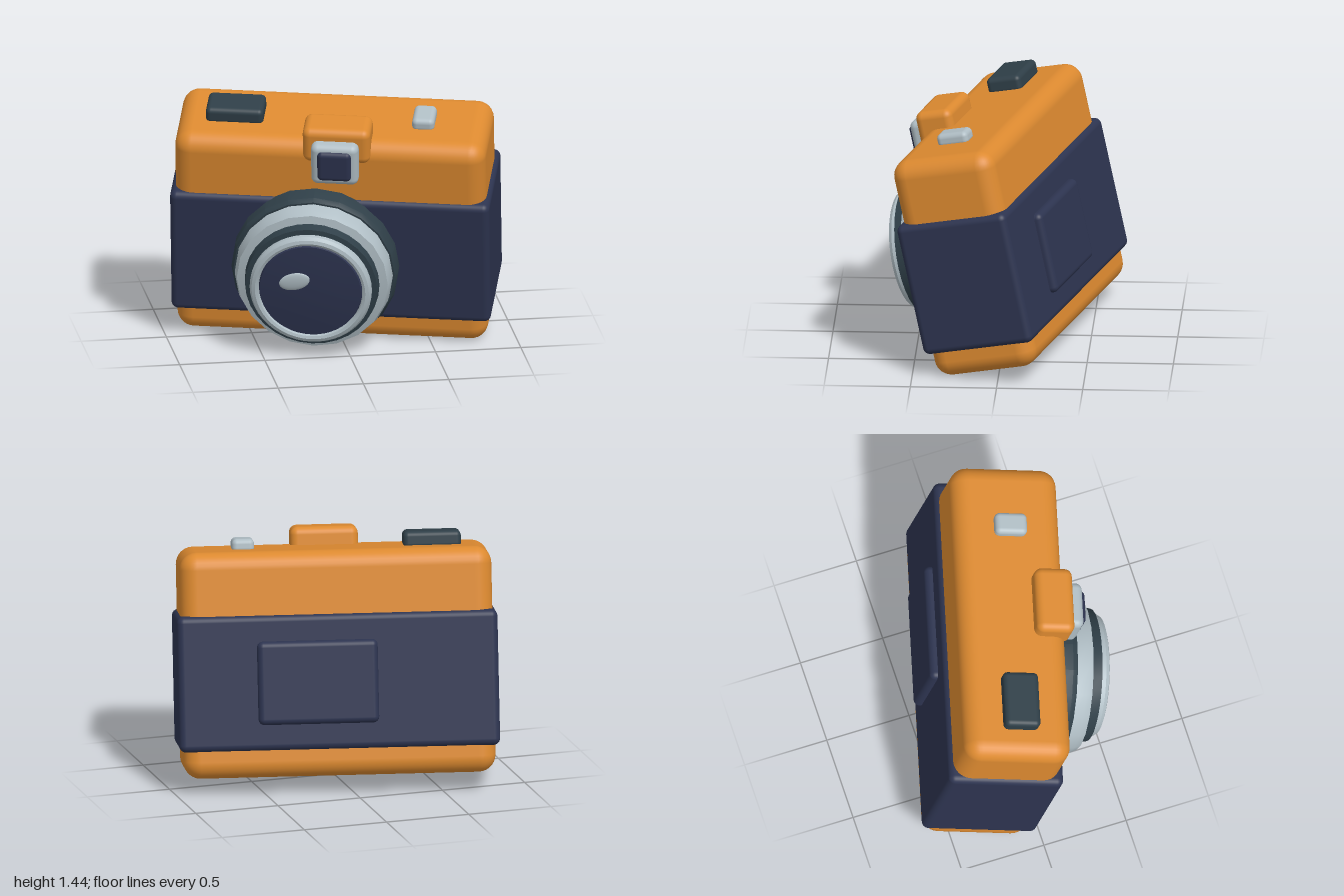
import * as THREE from 'three';
import { toCreasedNormals } from 'three/addons/utils/BufferGeometryUtils.js';
import { RoundedBoxGeometry } from 'three/addons/geometries/RoundedBoxGeometry.js';

const material = (name, color) => {
  const m = new THREE.MeshStandardMaterial({ color });
  m.name = name;
  return m;
};

export function createModel() {
  const orange = material('orange', 0xdd8a30);
  const navy = material('navy', 0x2d3450);
  const slate = material('slate', 0x2f3f48);
  const silver = material('silver', 0xb0bec5);

  const camera = new THREE.Group();
  camera.name = 'toyCamera';

  const add = (parent, name, geometry, mat, x = 0, y = 0, z = 0) => {
    const mesh = new THREE.Mesh(geometry, mat);
    mesh.name = name;
    mesh.position.set(x, y, z);
    parent.add(mesh);
    return mesh;
  };
  // Rounded box given by its centre and size
  const box = (name, mat, [x, y, z], [w, h, d], r) =>
    add(camera, name, new RoundedBoxGeometry(w, h, d, 4, r), mat, x, y, z);

  // Casing: tall orange shell with a wider dark wrap around the middle
  box('shell', orange, [0, 0.1025, 0], [1.81, 1.315, 0.63], 0.1);
  box('bodyWrap', navy, [0, 0, 0], [1.86, 0.79, 0.68], 0.04);
  box('backPanel', navy, [0.12, 0, -0.34], [0.7, 0.485, 0.09], 0.035);

  // Viewfinder
  box('viewfinderHump', orange, [0.045, 0.755, 0.233], [0.394, 0.22, 0.225], 0.045);
  box('viewfinderFrame', silver, [0.041, 0.67, 0.36], [0.275, 0.26, 0.11], 0.04);
  box('viewfinderGlass', navy, [0.041, 0.672, 0.39], [0.2, 0.192, 0.09], 0.03);

  // Top controls
  box('shutterButton', slate, [-0.571, 0.79, 0.01], [0.335, 0.1, 0.21], 0.03);
  box('windLever', silver, [0.526, 0.78, 0.008], [0.13, 0.08, 0.19], 0.03);

  // Lens: turned rings, profile points are [radius, distance from body centre]
  const lens = new THREE.Group();
  lens.name = 'lens';
  lens.position.set(-0.08, -0.026, 0);
  camera.add(lens);
  const ring = (name, mat, sides, points) => {
    const profile = points.map(([r, z]) => new THREE.Vector2(r, z));
    const geometry = new THREE.LatheGeometry(profile, sides).rotateX(Math.PI / 2);
    add(lens, name, toCreasedNormals(geometry, 0.5), mat);
  };
  ring('lensBase', slate, 20, [[0.485, 0.3], [0.485, 0.42], [0.47, 0.45], [0.4, 0.45]]);
  ring('lensBarrelRing', silver, 20, [[0.46, 0.44], [0.455, 0.51], [0.44, 0.55], [0.37, 0.565]]);
  ring('lensCollar', slate, 32, [[0.395, 0.54], [0.385, 0.615], [0.32, 0.625]]);
  ring('lensRim', silver, 48, [[0.355, 0.6], [0.355, 0.645], [0.342, 0.665], [0.322, 0.672], [0.306, 0.665], [0.3, 0.64]]);
  ring('lensGlass', navy, 48, [[0.305, 0.63], [0.295, 0.662], [0.2, 0.672], [0.1, 0.677], [0, 0.679]]);

  // Small raised glint on the glass
  const glint = add(lens, 'lensGlint', new THREE.SphereGeometry(1, 24, 16), silver, -0.09, 0.067, 0.677);
  glint.scale.set(0.092, 0.055, 0.015);
  glint.rotation.z = 0.28;

  // Whole camera is tipped forward and turned slightly
  camera.rotation.order = 'YXZ';
  const deg = THREE.MathUtils.degToRad;
  camera.rotation.set(deg(12.5), deg(-15), deg(-0.65));
  camera.position.set(0, 0.6, -0.04);

  const model = new THREE.Group();
  model.name = 'model';
  model.add(camera);
  return model;
}
